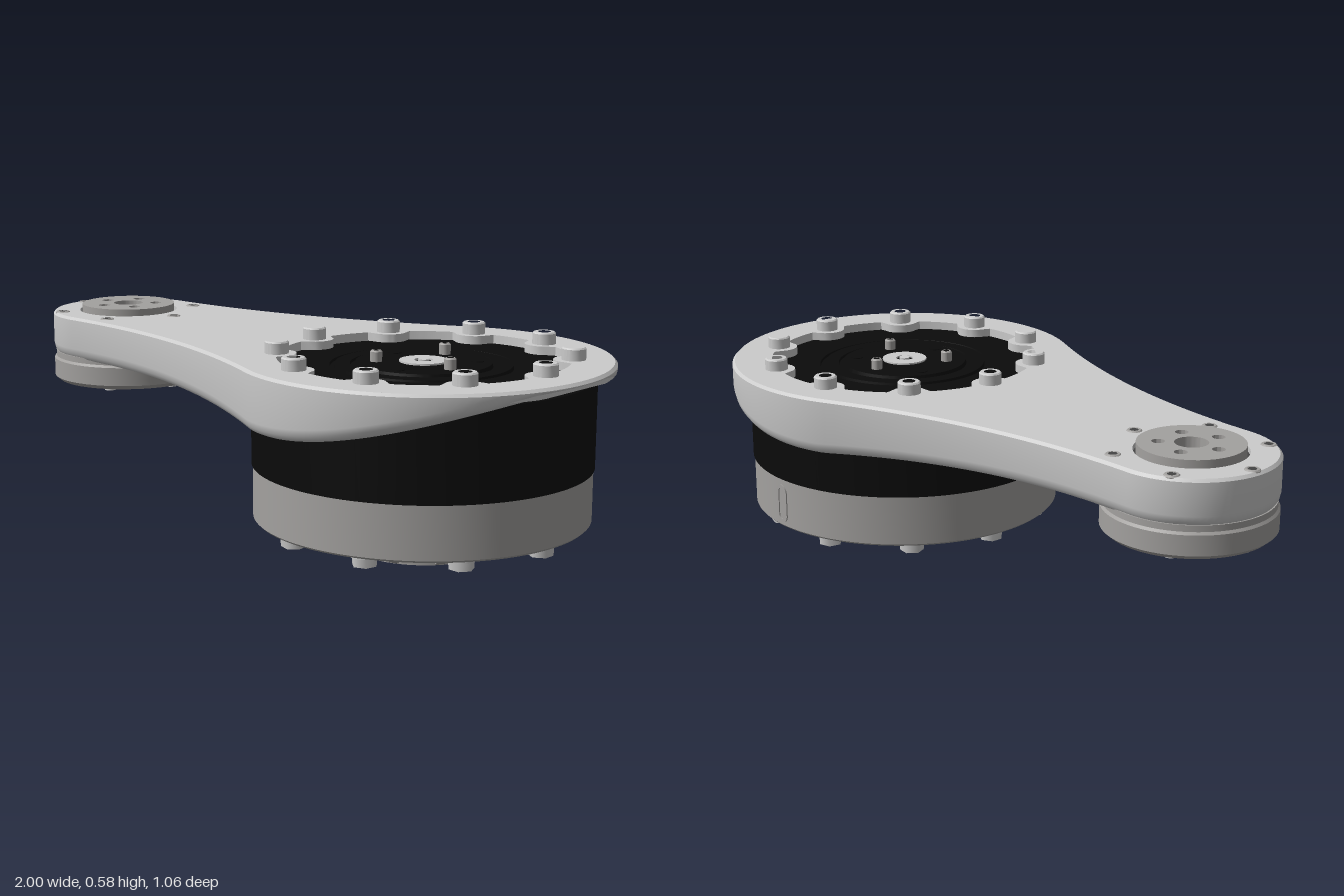
import * as THREE from 'three';
import { toCreasedNormals } from 'three/addons/utils/BufferGeometryUtils.js';

const mat = (color) => new THREE.MeshStandardMaterial({ color });
const light = mat(0xcccccc), grey = mat(0xa3a19f), black = mat(0x0b0b0b), dark = mat(0x444444);
const MX = 0.467, PX = -0.76; // motor and output axes
const TOP = 0.545;
const TAU = Math.PI * 2;

function add(parent, name, geo, material, x = 0, y = 0, z = 0) {
  const m = new THREE.Mesh(geo, material);
  m.name = name;
  m.position.set(x, y, z);
  parent.add(m);
  return m;
}
const lathe = (pts, seg = 96) =>
  toCreasedNormals(new THREE.LatheGeometry(pts.map((p) => new THREE.Vector2(...p)), seg), 0.5);

// Polar array: calls fn(x, z, angle) around an axis at cx
function around(n, r, cx, fn, start = 0) {
  for (let i = 0; i < n; i++) {
    const a = start + (i * TAU) / n;
    fn(cx + r * Math.cos(a), r * Math.sin(a), a);
  }
}
function circlePath(x, y, r) {
  return new THREE.Path().absarc(x, y, r, 0, TAU, true);
}
// Flat plate lying in xz, from y = 0 up to h
function plate(shape, h) {
  const g = new THREE.ExtrudeGeometry(shape, { depth: h, bevelEnabled: false, curveSegments: 32 });
  return toCreasedNormals(g.rotateX(-Math.PI / 2), 0.5);
}
function perforatedDisc(r, h, bore, n, holeR, holeAt, start = 0) {
  const s = new THREE.Shape().absarc(0, 0, r, 0, TAU, false);
  s.holes.push(circlePath(0, 0, bore));
  around(n, holeAt, 0, (x, z) => s.holes.push(circlePath(x, -z, holeR)), start);
  return plate(s, h);
}

// Arm underside height along x
function under(x) {
  if (x > 0.25) return 0.375 + 0.265 * (x - 0.25) ** 2;
  const t = Math.min(1, (0.25 - x) / 0.85);
  return 0.375 + 0.035 * t * (2 - t);
}

// Teardrop outline of the arm, inset along its normals
function outline(inset) {
  const R = 0.53, a = 2.03, p = [];
  for (let i = 0; i < 80; i++) {
    const t = -a + (2 * a * i) / 80;
    p.push(new THREE.Vector2(0.47 + R * Math.cos(t), R * Math.sin(t)));
  }
  const flank = new THREE.QuadraticBezierCurve(
    new THREE.Vector2(0.47 + R * Math.cos(a), R * Math.sin(a)),
    new THREE.Vector2(-0.25, 0.24), new THREE.Vector2(PX, 0.24)).getPoints(30);
  p.push(...flank);
  for (let i = 1; i < 40; i++) {
    const t = Math.PI / 2 + (Math.PI * i) / 40;
    p.push(new THREE.Vector2(PX + 0.24 * Math.cos(t), 0.24 * Math.sin(t)));
  }
  for (let i = 30; i > 0; i--) p.push(new THREE.Vector2(flank[i].x, -flank[i].y));
  const n = p.length;
  return p.map((q, i) => {
    const d = p[(i + 1) % n].clone().sub(p[(i + n - 1) % n]).normalize();
    return new THREE.Vector2(q.x - d.y * inset, q.y + d.x * inset);
  });
}

function armPlate() {
  const shape = new THREE.Shape(outline(0.008));
  // Scalloped opening: circle with bites left around ten bolt bosses
  const pts = [];
  for (let i = 0; i < 240; i++) {
    const t = (-i * TAU) / 240, step = TAU / 10;
    const d = t - Math.round(t / step) * step;
    const q = 0.056 ** 2 - (0.412 * Math.sin(d)) ** 2;
    const r = q > 0 ? Math.min(0.41, 0.412 * Math.cos(d) - Math.sqrt(q)) : 0.41;
    pts.push(new THREE.Vector2(MX + r * Math.cos(t), r * Math.sin(t)));
  }
  shape.holes.push(new THREE.Path(pts), circlePath(PX, 0, 0.155));
  const g = plate(shape, 0.03).translate(0, TOP - 0.03, 0);
  const pos = g.attributes.position;
  for (let i = 0; i < pos.count; i++)
    if (pos.getY(i) < TOP - 0.01) pos.setY(i, Math.max(pos.getY(i), under(pos.getX(i)) + 0.002));
  return g;
}

// Side wall: a rounded section swept round the outline, bottom following under(x)
function armWall() {
  const base = outline(0), n = base.length;
  const section = [
    [0.008, () => TOP], [0, () => TOP - 0.008], [0, (f) => Math.min(f + 0.035, TOP - 0.01)],
    [0.004, (f) => Math.min(f + 0.018, TOP - 0.012)], [0.014, (f) => f + 0.005],
    [0.026, (f) => f], [0.042, (f) => f], [0.042, () => TOP - 0.01],
  ];
  const v = [], idx = [];
  section.forEach(([inset, h], j) => {
    outline(inset).forEach((p, i) => {
      v.push(p.x, h(under(base[i].x)), -p.y);
      if (j === section.length - 1) return;
      const a = j * n + i, b = j * n + ((i + 1) % n);
      idx.push(a, a + n, b, b, a + n, b + n);
    });
  });
  const g = new THREE.BufferGeometry();
  g.setAttribute('position', new THREE.Float32BufferAttribute(v, 3));
  g.setIndex(idx);
  return toCreasedNormals(g, 0.7);
}

// Socket-head screw, seat at y = 0
const capHead = (r, h) => lathe([[r, 0], [r, h - 0.004], [r - 0.004, h], [r * 0.55, h]], 24);
function screw(parent, name, r, h, x, y, z, material = light) {
  const s = new THREE.Group();
  s.name = name;
  add(s, 'screwHead', capHead(r, h), material);
  add(s, 'hexSocket', new THREE.CylinderGeometry(r * 0.62, r * 0.62, 0.004, 6), dark, 0, h * 0.6, 0);
  s.position.set(x, y, z);
  parent.add(s);
  return s;
}

export function createModel() {
  const root = new THREE.Group();
  root.name = 'actuatorArm';

  // Arm shell with stiffening ribs underneath
  const arm = new THREE.Group();
  arm.name = 'arm';
  root.add(arm);
  add(arm, 'armPlate', armPlate(), light);
  const wall = add(arm, 'armWall', armWall(), light);
  wall.material = light.clone();
  wall.material.side = THREE.DoubleSide;
  for (const [z0, z1] of [[-0.12, -0.22], [-0.04, -0.075], [0.04, 0.075], [0.12, 0.22]]) {
    const len = Math.hypot(0.6, z1 - z0);
    const rib = add(arm, 'armRib', new THREE.BoxGeometry(len, 0.11, 0.022), light, -0.29, 0.47, (z0 + z1) / 2);
    rib.rotation.y = -Math.atan2(z1 - z0, 0.6);
  }

  // Motor housing
  const motor = new THREE.Group();
  motor.name = 'motor';
  motor.position.x = MX;
  root.add(motor);
  add(motor, 'motorBody', lathe([[0, 0.245], [0.48, 0.245], [0.48, 0.5], [0.47, 0.508], [0.408, 0.51], [0.408, 0.52],
    [0.262, 0.522], [0.26, 0.515], [0.25, 0.515], [0.248, 0.525], [0.205, 0.525], [0.203, 0.518], [0.193, 0.518],
    [0.19, 0.53], [0.07, 0.53], [0, 0.53]], 128), black);
  add(motor, 'lowerHousing', lathe([[0.3, 0.12], [0.335, 0.09], [0.47, 0.09], [0.476, 0.096], [0.476, 0.245], [0, 0.245]], 128), grey);
  add(motor, 'centreWasher', lathe([[0.068, 0.528], [0.068, 0.535], [0.026, 0.535], [0.026, 0.53]], 48), light);
  add(motor, 'shaftEnd', new THREE.CylinderGeometry(0.016, 0.016, 0.008, 24), light, 0, 0.533, 0);
  around(3, 0.132, 0, (x, z) => screw(motor, 'hubScrew', 0.017, 0.032, x, 0.53, z, grey), 0.31);
  around(3, 0.15, 0, (x, z) =>
    add(motor, 'deckRecess', new THREE.CylinderGeometry(0.018, 0.018, 0.003, 20), black, x, 0.531, z), 1.36);

  // Cable slot on the back of the lower housing
  const slot = new THREE.Shape().absarc(0, 0.035, 0.025, 0, Math.PI, false);
  slot.absarc(0, -0.035, 0.025, Math.PI, TAU, false);
  const inner = new THREE.Path().absarc(0, 0.035, 0.015, 0, Math.PI, false);
  inner.absarc(0, -0.035, 0.015, Math.PI, TAU, false);
  slot.holes.push(inner);
  add(motor, 'cableSlot', new THREE.ExtrudeGeometry(slot, { depth: 0.015, bevelEnabled: false }), grey, 0, 0.165, -0.479);

  // Bottom hub: dished cone, radial ribs, drilled centre plate
  add(motor, 'dish', lathe([[0.198, 0.012], [0.215, 0.045], [0.255, 0.075], [0.31, 0.1]]), grey);
  add(motor, 'dishRim', lathe([[0.305, 0.1], [0.31, 0.068], [0.345, 0.068], [0.35, 0.092]]), grey);
  add(motor, 'hubPlate', perforatedDisc(0.2, 0.04, 0.083, 6, 0.016, 0.135, 0.3), grey);
  add(motor, 'hubBacking', new THREE.CylinderGeometry(0.2, 0.2, 0.03, 64), dark, 0, 0.054, 0);
  const ribShape = new THREE.Shape([[0.19, 0.001], [0.2, 0.001], [0.318, 0.07], [0.318, 0.1], [0.19, 0.1]]
    .map((p) => new THREE.Vector2(...p)));
  const ribGeo = new THREE.ExtrudeGeometry(ribShape, { depth: 0.026, bevelEnabled: false }).translate(0, 0, -0.013);
  around(10, 0, 0, (x, z, a) => { add(motor, 'hubRib', ribGeo, grey).rotation.y = -a; });

  // Ten through-bolts: socket heads on top, hex nuts below
  around(10, 0.412, 0, (x, z, a) => {
    screw(motor, 'topBolt', 0.034, 0.036, x, TOP - 0.001, z);
    add(motor, 'nutFlange', new THREE.CylinderGeometry(0.041, 0.041, 0.01, 32), light, x, 0.086, z);
    const nut = add(motor, 'hexNut', new THREE.CylinderGeometry(0.037, 0.035, 0.03, 6), light, x, 0.07, z);
    nut.rotation.y = -a;
  });

  // Output joint at the narrow end
  const joint = new THREE.Group();
  joint.name = 'outputJoint';
  joint.position.x = PX;
  root.add(joint);
  add(joint, 'bearingHousing', lathe([[0.155, 0.5], [0.155, 0.325], [0.225, 0.325], [0.24, 0.338], [0.24, 0.395],
    [0.234, 0.402], [0.234, 0.42], [0.155, 0.42]]), grey);
  add(joint, 'outputFlange', perforatedDisc(0.147, 0.22, 0.046, 5, 0.018, 0.088, 3.02), grey, 0, 0.345, 0);
  add(joint, 'bearingSeal', lathe([[0.145, 0.36], [0.157, 0.36], [0.157, 0.53], [0.145, 0.53]], 64), dark);
  around(6, 0.213, 0, (x, z) => {
    screw(joint, 'plateScrew', 0.023, 0.006, x, TOP - 0.003, z, grey);
    add(joint, 'housingScrew', new THREE.CylinderGeometry(0.018, 0.018, 0.01, 20), light, x * 0.92, 0.323, z * 0.92);
  });
  return root;
}
